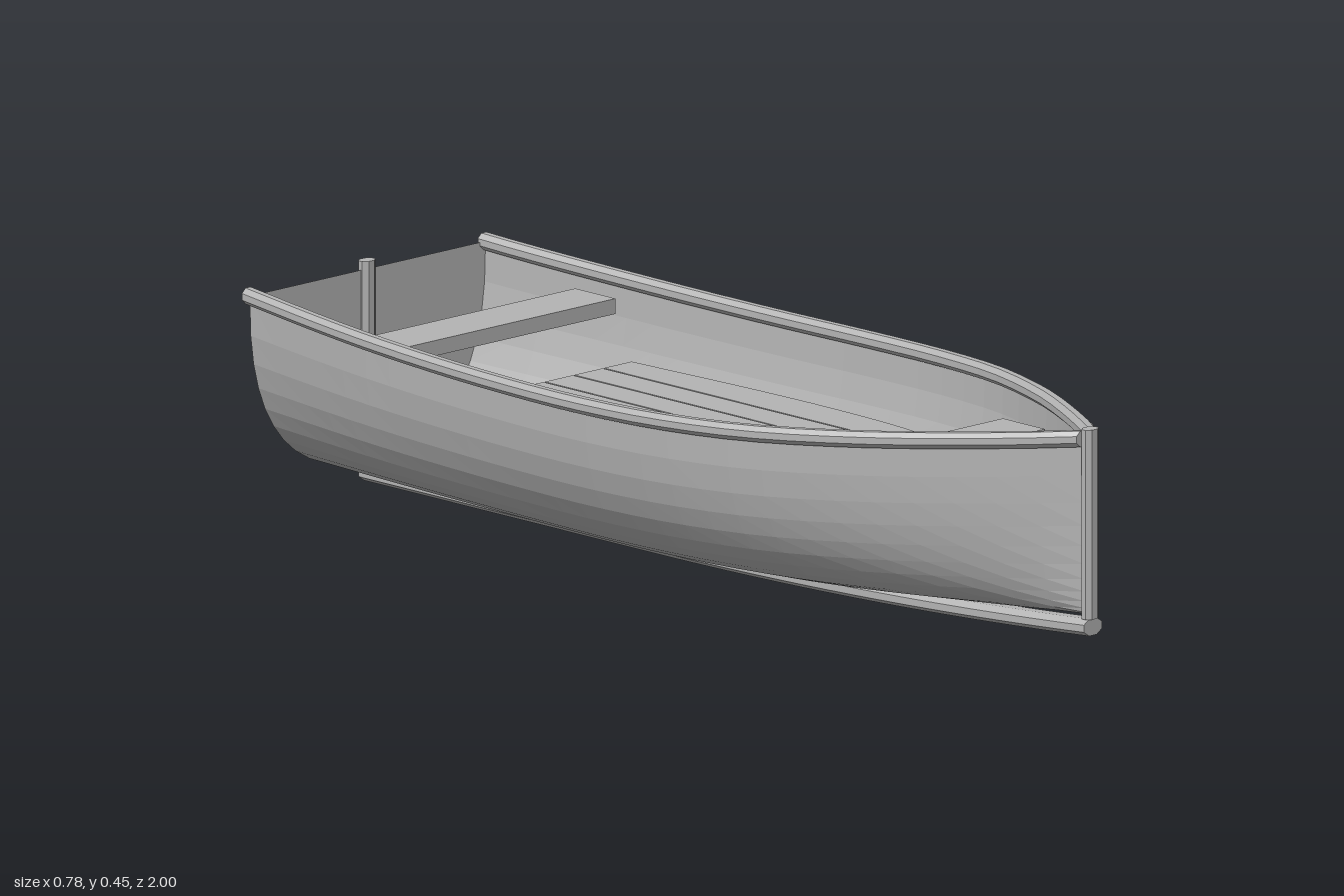
import * as THREE from 'three';

const STERN = -0.985, BOW = 0.98;

// Smooth curve through values given at ascending z stations
function curve(zs, values) {
  const c = new THREE.CubicInterpolant(zs, values, 1, new Float32Array(1));
  return z => c.evaluate(THREE.MathUtils.clamp(z, zs[0], zs[zs.length - 1]))[0];
}

const beam = curve(
  [-0.985, -0.6, -0.2, 0, 0.2, 0.4, 0.6, 0.7, 0.8, 0.9, 0.98],
  [0.31, 0.347, 0.37, 0.374, 0.363, 0.325, 0.245, 0.192, 0.132, 0.068, 0.012]);
const floorWidth = curve(
  [-0.55, -0.2, 0, 0.2, 0.4, 0.52],
  [0.275, 0.293, 0.295, 0.284, 0.246, 0.208]);
const sheer = z => 0.385 + 0.04 * (z + 0.15) ** 2;
const rise = z => 0.05 * Math.max(0, (z + 0.2) / 1.18) ** 2;

// Point on the full-bellied hull section, u from -1 (one rail) to 1 (other rail)
function section(u, z) {
  const a = u * Math.PI / 2, top = sheer(z), bottom = 0.042 + rise(z);
  const x = Math.sign(a) * Math.abs(Math.sin(a)) ** 0.8 * beam(z);
  const y = top - (top - bottom) * Math.max(0, Math.cos(a)) ** 0.8;
  return [x, y];
}

// Capped eight-sided rod along z, each vertex moved by a rule
function rodAlongZ(z0, z1, rx, ry, move) {
  const g = new THREE.CylinderGeometry(1, 1, z1 - z0, 8, 28);
  g.rotateY(Math.PI / 8).rotateX(Math.PI / 2).scale(rx, ry, 1).translate(0, 0, (z0 + z1) / 2);
  const p = g.attributes.position;
  for (let i = 0; i < p.count; i++) {
    const [x, y] = move(p.getX(i), p.getY(i), p.getZ(i));
    p.setXY(i, x, y);
  }
  g.computeVertexNormals();
  return g;
}

export function createModel() {
  const boat = new THREE.Group();
  boat.name = 'rowingBoat';
  const grey = new THREE.MeshStandardMaterial({ color: 0xb4b4b4, flatShading: true, side: THREE.DoubleSide });
  grey.name = 'grey';
  const add = (name, geometry, parent = boat) => {
    const mesh = new THREE.Mesh(geometry, grey);
    mesh.name = name;
    parent.add(mesh);
    return mesh;
  };

  // Hull skin
  const hull = new THREE.PlaneGeometry(2, 1, 22, 28);
  const p = hull.attributes.position;
  for (let i = 0; i < p.count; i++) {
    const z = THREE.MathUtils.lerp(STERN, BOW, p.getY(i) + 0.5);
    p.setXYZ(i, ...section(p.getX(i), z), z);
  }
  hull.computeVertexNormals();
  add('hull', hull);

  // Flat transom closing the stern
  const outline = [];
  for (let i = 0; i <= 22; i++) outline.push(new THREE.Vector2(...section(i / 11 - 1, STERN)));
  add('transom', new THREE.ShapeGeometry(new THREE.Shape(outline))).position.z = STERN;

  // Gunwale rails, kept at an even thickness where they curve in
  for (const side of [1, -1]) {
    add(side > 0 ? 'leftRail' : 'rightRail', rodAlongZ(-0.99, BOW, 0.017, 0.017, (x, y, z) => {
      const slope = (beam(z + 0.01) - beam(z - 0.01)) / 0.02;
      return [side * beam(z) + x * Math.hypot(1, slope), sheer(z) + y];
    }));
  }

  // Keel, stem and stern post
  add('keel', rodAlongZ(-0.985, 0.995, 0.026, 0.018, (x, y, z) => [x, y + 0.018 + rise(z)]));
  const post = (name, z, y0, y1) => {
    const g = new THREE.CylinderGeometry(1, 1, y1 - y0, 8);
    g.rotateY(Math.PI / 8).scale(0.019, 1, 0.014);
    add(name, g).position.set(0, (y0 + y1) / 2, z);
  };
  post('stem', 0.987, 0.085, 0.455);
  post('sternPost', -0.987, 0.03, 0.43);

  // Seats
  const seat = (name, width, z0, z1) =>
    add(name, new THREE.BoxGeometry(width, 0.03, z1 - z0)).position.set(0, 0.353, (z0 + z1) / 2);
  seat('rearSeat', 0.6, -0.73, -0.62);
  seat('frontSeat', 0.355, 0.565, 0.68);

  // Floorboards cut to a curved outline
  const floor = new THREE.Group();
  floor.name = 'floor';
  floor.position.y = 0.262;
  boat.add(floor);
  const edges = [0.045, 0.122, 0.2, 0.3];
  const board = (inner, outer, side) => {
    const pts = [new THREE.Vector2(side * inner, 0.52), new THREE.Vector2(side * inner, -0.55)];
    for (let i = 0; i <= 16; i++) {
      const z = -0.55 + 1.07 * i / 16;
      pts.push(new THREE.Vector2(side * Math.min(outer, floorWidth(z)), z));
    }
    const g = new THREE.ExtrudeGeometry(new THREE.Shape(pts), { depth: 0.02, bevelEnabled: false });
    add('floorboard', g.rotateX(Math.PI / 2), floor);
  };
  board(-0.043, 0.043, 1);
  for (const side of [1, -1])
    for (let i = 0; i < 3; i++) board(edges[i] + 0.002, edges[i + 1] - 0.002, side);

  return boat;
}
